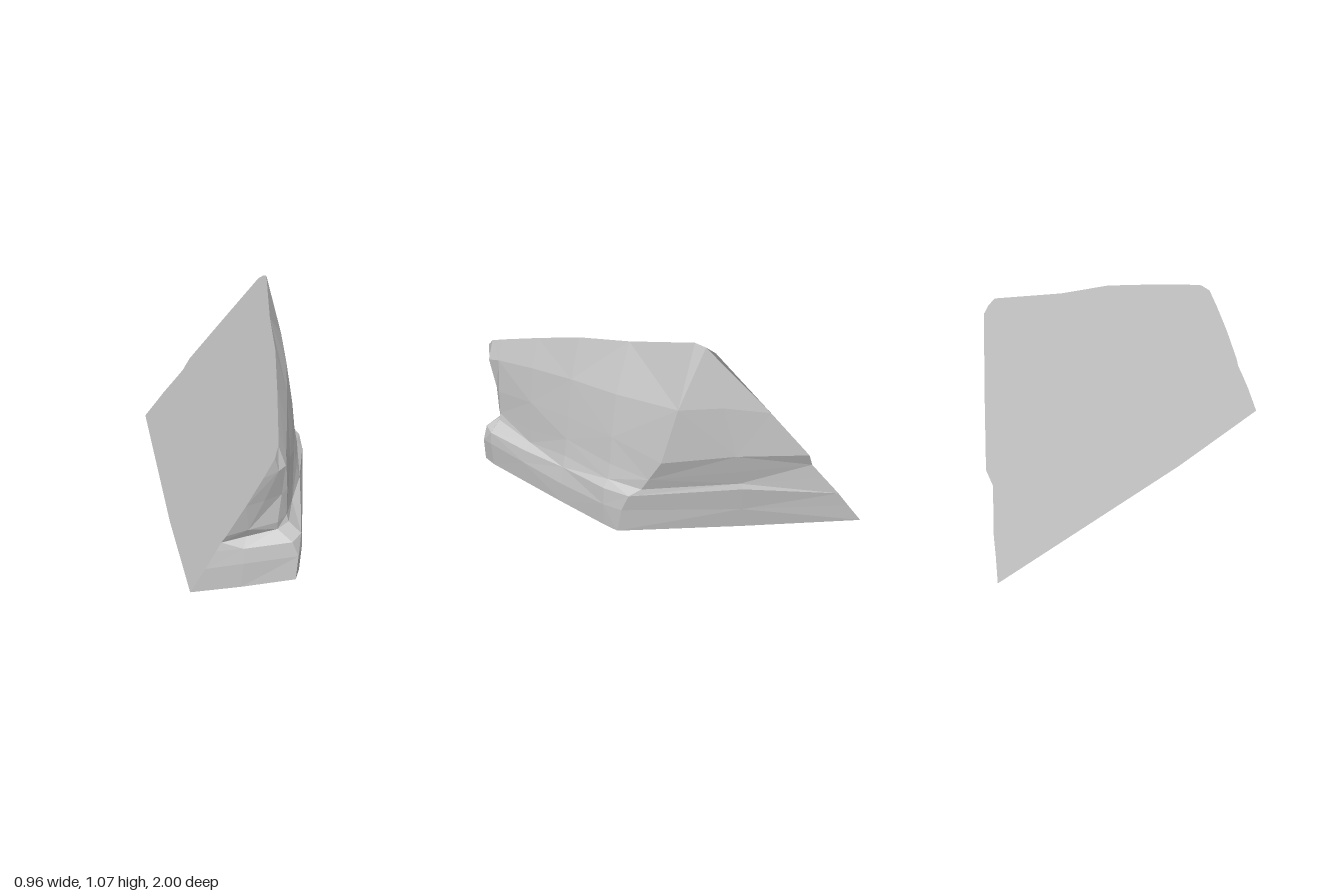
import * as THREE from 'three';

// Sloping cut plane: gives x for a height and depth
const cutX = (y, z) => -0.255 + 0.225 * z + 0.6 * (y - 0.02);
const onCut = (y, z) => [cutX(y, z), y, z];

// A face column of the rock, bottom to top; its last point lies on the cut
const column = (points, topY, topZ) => [...points, onCut(topY, topZ)];

// A column of the long side: one depth, given as [x, y] pairs
const sideColumn = (z, pairs, topY) => column(pairs.map(([x, y]) => [x, y, z]), topY, z);

function makeMesh(name, triangles) {
  const geometry = new THREE.BufferGeometry();
  geometry.setAttribute('position', new THREE.Float32BufferAttribute(triangles.flat(2), 3));
  geometry.computeVertexNormals();
  const mesh = new THREE.Mesh(geometry,
    new THREE.MeshStandardMaterial({ color: 0xcccccc, flatShading: true }));
  mesh.name = name;
  return mesh;
}

// Triangles from a centre point to a closed loop
const fan = (centre, loop) => loop.map((p, i) => [centre, p, loop[(i + 1) % loop.length]]);

export function createModel() {
  // Edge where the front end meets the cut
  const frontEdge = [[0.02, 1], [0.14, 0.99], [0.225, 0.975], [0.265, 0.965],
    [0.3, 0.97], [0.45, 0.96], [0.58, 0.94], [0.67, 0.92]].map(([y, z]) => onCut(y, z));

  // Edge where the back end meets the cut
  const backEdge = [[0.02, -1], [0.12, -0.965], [0.2, -0.94], [0.3, -0.895],
    [0.38, -0.86], [0.45, -0.87], [0.7, -0.76], [1.03, -0.61]].map(([y, z]) => onCut(y, z));

  const frontMiddle = column([[0.2, 0.025, 0.945], [0.21, 0.15, 0.95], [0.21, 0.225, 0.945],
    [0.22, 0.265, 0.9], [0.23, 0.31, 0.92], [0.3, 0.45, 0.9], [0.36, 0.6, 0.9]], 0.685, 0.9);

  const frontCorner = column([[0.45, 0.03, 0.87], [0.46, 0.15, 0.865], [0.43, 0.225, 0.87],
    [0.36, 0.27, 0.83], [0.36, 0.31, 0.84], [0.375, 0.45, 0.83], [0.39, 0.61, 0.865]], 0.71, 0.87);

  // Long side, with the ledge fading out toward its middle
  const side = [
    sideColumn(0.78, [[0.465, 0.03], [0.475, 0.16], [0.47, 0.225], [0.41, 0.285],
      [0.4, 0.32], [0.4, 0.45], [0.39, 0.63]], 0.74),
    sideColumn(0.5, [[0.47, 0.03], [0.477, 0.15], [0.468, 0.22], [0.425, 0.25],
      [0.42, 0.32], [0.41, 0.48], [0.39, 0.67]], 0.825),
    sideColumn(0.2, [[0.475, 0.03], [0.478, 0.14], [0.462, 0.23], [0.445, 0.29],
      [0.43, 0.38], [0.415, 0.5], [0.385, 0.7]], 0.91),
    sideColumn(-0.12, [[0.475, 0.03], [0.48, 0.15], [0.475, 0.24], [0.445, 0.28],
      [0.43, 0.36], [0.415, 0.5], [0.38, 0.72]], 0.97),
  ];

  const backCorner = column([[0.47, 0.03, -0.21], [0.47, 0.16, -0.24], [0.458, 0.25, -0.28],
    [0.41, 0.285, -0.32], [0.4, 0.35, -0.36], [0.385, 0.46, -0.43], [0.345, 0.75, -0.5]], 1.07, -0.52);

  const backMiddle = column([[0, 0.025, -0.61], [0.02, 0.14, -0.63], [0.04, 0.27, -0.655],
    [0.05, 0.3, -0.64], [0.08, 0.38, -0.65], [0.11, 0.48, -0.665], [0.18, 0.75, -0.635]], 1.055, -0.57);

  const columns = [frontEdge, frontMiddle, frontCorner, ...side, backCorner, backMiddle, backEdge];

  // Broken outer faces: skin between neighbouring columns
  const faces = [];
  for (let c = 0; c < columns.length - 1; c++) {
    for (let r = 0; r < frontEdge.length - 1; r++) {
      const a = columns[c][r], b = columns[c + 1][r];
      const d = columns[c][r + 1], e = columns[c + 1][r + 1];
      if ((c + r) % 2) faces.push([a, b, e], [a, e, d]);
      else faces.push([a, b, d], [b, e, d]);
    }
  }

  // Flat sloping cut, bounded by the column tops and both edges
  const lowPoint = onCut(0.005, 0.3);
  const cutLoop = [...frontEdge, ...columns.slice(1, -1).map((c) => c.at(-1)),
    ...[...backEdge].reverse(), lowPoint];
  const cut = fan(onCut(0.5, 0.1), cutLoop);

  // Slightly bulging underside
  const baseLoop = [...columns.map((c) => c[0]), lowPoint].reverse();
  const base = fan([0.05, 0, 0.3], baseLoop);

  const rock = new THREE.Group();
  rock.name = 'rock';
  rock.add(makeMesh('brokenFaces', faces), makeMesh('slopingCut', cut), makeMesh('underside', base));
  return rock;
}
